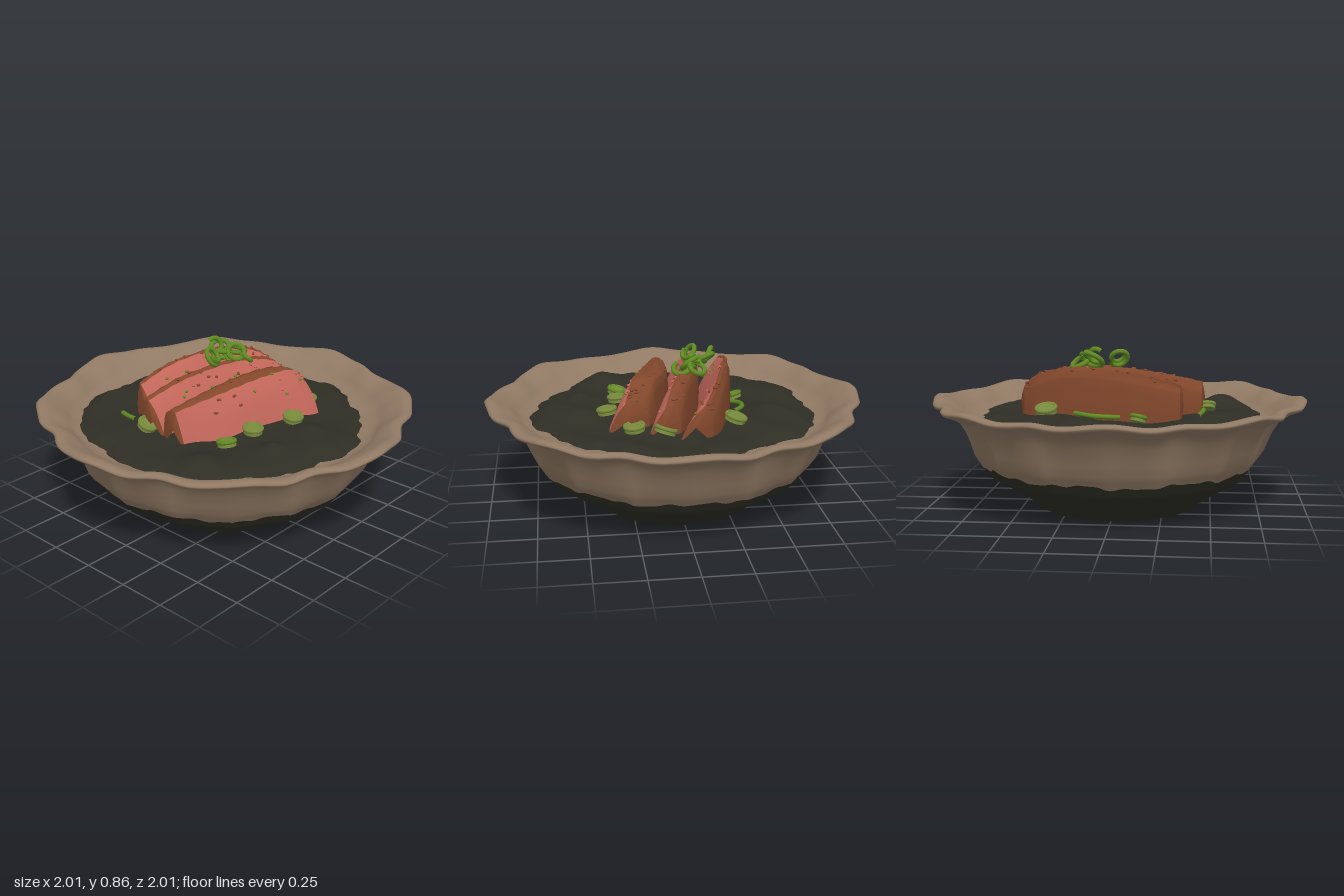
import * as THREE from 'three';

const mat = (name, color, double = false) => {
  const m = new THREE.MeshStandardMaterial({ color });
  m.name = name;
  if (double) m.side = THREE.DoubleSide;
  return m;
};
const TAU = Math.PI * 2;
const lerp = THREE.MathUtils.lerp;
const smooth = THREE.MathUtils.smoothstep;

// Grid surface from a rule f(u, v) -> [x, y, z]; u may wrap around
function surface(f, nu, nv, closed) {
  const pos = [], idx = [], cols = closed ? nu : nu + 1;
  for (let j = 0; j <= nv; j++)
    for (let i = 0; i < cols; i++) pos.push(...f(i / nu, j / nv));
  for (let j = 0; j < nv; j++)
    for (let i = 0; i < nu; i++) {
      const k = (i + 1) % cols;
      const a = j * cols + i, b = j * cols + k, c = a + cols, d = b + cols;
      idx.push(a, b, d, a, d, c);
    }
  const g = new THREE.BufferGeometry();
  g.setAttribute('position', new THREE.Float32BufferAttribute(pos, 3));
  g.setIndex(idx);
  g.computeVertexNormals();
  return g;
}

// Point on a polyline of rows, t in 0..1
function along(rows, t) {
  const s = t * (rows.length - 1), i = Math.min(Math.floor(s), rows.length - 2);
  return rows[i].map((p, k) => lerp(p, rows[i + 1][k], s - i));
}

function seeded(seed) {
  return () => (seed = (seed * 16807) % 2147483647) / 2147483647;
}

export function createModel() {
  const clay = mat('clay', 0x917a64, true);
  const dark = mat('dark sauce', 0x2e2e25, true);
  const pink = mat('pink meat', 0xc4675b, true);
  const crust = mat('brown crust', 0x83482c, true);
  const green = mat('bright green', 0x5f8a22);
  const olive = mat('pale green', 0x788a3c);

  const root = new THREE.Group();
  root.name = 'mealBowl';
  const add = (geo, material, name, parent = root) => {
    const m = new THREE.Mesh(geo, material);
    m.name = name;
    parent.add(m);
    return m;
  };

  // Bowl: facetted lower wall that opens into an eight-lobed ruffled rim
  const bowlPoint = (th, r, y) => {
    const k = smooth(r, 0.74, 0.96);
    const valley = ((1 - Math.cos(8 * th)) / 2) ** 2;
    const q = Math.PI / 8, off = ((th % q) + q) % q - q / 2;
    const facet = Math.cos(q / 2) / Math.cos(off);
    const rr = r * lerp(r > 0.3 ? facet : 1, 1 - 0.045 * valley + 0.005 * Math.cos(24 * th), k);
    const yy = y + k * (0.008 * Math.cos(8 * th) + 0.006 * Math.sin(16 * th + 1));
    return [rr * Math.sin(th), yy, rr * Math.cos(th)];
  };
  const tide = th => 0.24 + 0.008 * Math.sin(9 * th) + 0.006 * Math.sin(23 * th + 1) + 0.004 * Math.sin(41 * th);
  const wallRadius = y => 0.70 + (y - 0.18) * 0.7;

  const foot = [[0, 0], [0.43, 0], [0.45, 0.02], [0.515, 0.07], [0.70, 0.18]];
  add(surface((u, v) => {
    const th = u * TAU;
    const [r, y] = along([...foot, [wallRadius(tide(th)), tide(th)]], v);
    return bowlPoint(th, r, y);
  }, 128, 15, true), dark, 'bowlBase');

  const wall = [[0.785, 0.30], [0.832, 0.41], [0.88, 0.49], [0.94, 0.527], [0.99, 0.545], [1.0, 0.56],
    [0.985, 0.572], [0.955, 0.572], [0.925, 0.56], [0.87, 0.53], [0.82, 0.49], [0.76, 0.472], [0.6, 0.455], [0, 0.43]];
  add(surface((u, v) => {
    const th = u * TAU;
    const [r, y] = along([[wallRadius(tide(th)), tide(th)], ...wall], v);
    return bowlPoint(th, r, y);
  }, 192, 28, true), clay, 'bowlWall');

  // Sauce: lumpy puddle with a ragged edge and a few folds
  const folds = [[0.58, -0.5, 0.05, 0.05], [0.15, -0.5, 0.03, 0.1], [-0.2, 0.5, 0.03, 0.06], [0.1, 0.5, 0.025, 0.08], [-0.55, 0.35, 0.03, 0.08]];
  const sauceY = (x, z) => {
    let y = 0.505 + 0.009 * Math.sin(9 * x + 3 * z) + 0.008 * Math.sin(11 * z - 5 * x + 1) + 0.005 * Math.sin(17 * x + 13 * z);
    for (const [fx, fz, h, w] of folds) y += h * Math.exp(-((x - fx) ** 2 + (z - fz) ** 2) / (w * w));
    return y;
  };
  add(surface((u, v) => {
    const th = u * TAU;
    const edge = 0.752 - 0.025 * Math.sin(th) + 0.02 * Math.sin(5 * th + 1) + 0.013 * Math.sin(11 * th)
      + 0.009 * Math.sin(23 * th + 2) + 0.005 * Math.sin(47 * th);
    const r = edge * (1 - v), x = r * Math.sin(th), z = r * Math.cos(th);
    return [x, lerp(0.468, sauceY(x, z), smooth(v, -0.05, 0.12)), z];
  }, 160, 36, true), dark, 'sauce');

  // Meat slices; each station is [x, front foot z, upper cut edge z, back z, top y]
  const slices = [
    [[-0.34, -0.17, -0.29, -0.31, 0.68], [-0.1, -0.13, -0.28, -0.31, 0.735], [0.2, -0.07, -0.21, -0.25, 0.755],
      [0.4, 0.0, -0.14, -0.18, 0.71], [0.49, 0.04, -0.08, -0.12, 0.645]],
    [[-0.45, 0.01, -0.12, -0.16, 0.67], [-0.2, 0.04, -0.10, -0.15, 0.72], [0.1, 0.09, -0.03, -0.10, 0.745],
      [0.32, 0.16, 0.05, -0.02, 0.72], [0.42, 0.19, 0.10, 0.03, 0.63]],
    [[-0.45, 0.14, 0.07, 0.0, 0.655], [-0.2, 0.23, 0.13, 0.02, 0.695], [0.05, 0.30, 0.19, 0.06, 0.725],
      [0.25, 0.37, 0.25, 0.13, 0.73], [0.34, 0.38, 0.29, 0.18, 0.64]],
  ];
  const rand = seeded(77);
  const crumb = new THREE.IcosahedronGeometry(1, 0);
  const foots = 0.47;
  slices.forEach((rows, n) => {
    const slice = new THREE.Group();
    slice.name = 'meatSlice' + (n + 1);
    root.add(slice);
    const curve = [1, 2, 3, 4].map(k => new THREE.SplineCurve(rows.map(r => new THREE.Vector2(r[0], r[k]))));
    const station = t => {
      const p = curve.map(c => c.getPoint(t));
      return [p[0].x, p[0].y, p[1].y, p[2].y, p[3].y];
    };
    const crustPoint = (s, t) => {
      const [x, , zt, zb, yt] = station(t);
      const [z, y] = along([[zb - 0.01, foots], [zb - 0.012, 0.56], [zb - 0.005, yt - 0.05], [zb + 0.01, yt - 0.012],
        [(zt + zb) / 2, yt + 0.008], [zt, yt]], s);
      const b = 0.005 * Math.sin(s * 15 + 40 * t) * Math.sin(31 * t + n);
      return [x, y + b, z];
    };
    const cutPoint = (s, t) => {
      const [x, zf, , , yt] = station(t);
      const top = crustPoint(1, t);
      const dent = 0.010 * Math.sin(Math.PI * s) * Math.sin(t * 9 + n * 2);
      const rise = 0.25 * Math.sin(Math.PI * s) * (yt - foots) * 0.4;
      return [x, lerp(top[1], foots, s) + rise + dent, lerp(top[2], zf, s)];
    };
    add(surface(crustPoint, 15, 40, false), crust, 'crust', slice);
    add(surface(cutPoint, 8, 40, false), pink, 'cutFace', slice);
    // Rounded crust ends
    for (const t of [0, 1]) {
      const [x, zf, , zb, yt] = station(t);
      const mid = [x + (t ? 0.03 : -0.015), (yt + foots) / 2, (zf + zb) / 2];
      add(surface((u, v) => {
        const p = u < 0.5 ? crustPoint(u * 2, t) : cutPoint(u * 2 - 1, t);
        const w = t ? v : 1 - v;
        return p.map((c, k) => lerp(c, mid[k], k ? w : Math.sin(w * Math.PI / 2)));
      }, 20, 4, false), crust, 'sliceEnd', slice);
    }
    // Crumbs and chopped herbs on the slice
    for (let i = 0; i < 26; i++) {
      const t = 0.15 + rand() * 0.8, onCut = i % 2;
      const p = onCut ? cutPoint(rand() * 0.5, t) : crustPoint(0.55 + rand() * 0.45, t);
      const m = add(crumb, i % 6 === 5 ? green : onCut && i % 3 ? pink : crust, 'crumb', slice);
      m.position.set(...p);
      m.scale.set(0.010 + rand() * 0.006, 0.008, 0.010);
      m.rotation.y = rand() * 3;
    }
  });

  // Cut onion rounds lying around the meat: [x, z, radius, tilt]
  const rounds = [[-0.13, -0.35, 0.04, 0.3], [0.35, -0.27, 0.055, -0.2], [-0.47, -0.11, 0.05, 0.3], [0.44, 0.10, 0.055, -0.3],
    [0.39, 0.25, 0.052, 0.2], [0.12, 0.37, 0.05, 0.35], [-0.12, 0.30, 0.05, 0.1], [-0.31, 0.29, 0.048, -0.15]];
  rounds.forEach(([x, z, r, tilt], i) => {
    const g = new THREE.Group();
    g.name = 'onionRound';
    g.position.set(x, sauceY(x, z) + 0.025, z);
    g.rotation.set(tilt, i, tilt * 0.6);
    root.add(g);
    add(new THREE.CylinderGeometry(r * 0.95, r, 0.03, 20), olive, 'roundCore', g);
    const skin = add(new THREE.TorusGeometry(r * 0.9, 0.011, 8, 24), i % 7 ? olive : green, 'roundSkin', g);
    skin.rotation.x = Math.PI / 2;
    skin.position.y = 0.01;
  });

  // Curled strips: [x, y, z, radius, turns, rise, tiltX, tiltZ]
  const curls = [[-0.01, 0.80, -0.08, 0.05, 1.5, 0.03, 0.9, -0.3], [0.12, 0.80, -0.14, 0.06, 1.3, 0.04, 0.5, 0.3],
    [0.15, 0.785, -0.06, 0.055, 1.6, 0.04, 0.7, 0.5], [0.20, 0.775, -0.09, 0.05, 1.1, 0.03, -0.3, -0.5],
    [0.10, 0.81, -0.16, 0.045, 0.7, 0.03, 1.4, 0.2], [0.17, 0.765, -0.01, 0.045, 0.7, 0.03, 0.4, -0.4]];
  curls.forEach(([x, y, z, r, turns, rise, tx, tz], n) => {
    const pts = Array.from({ length: 24 }, (_, i) => {
      const a = i / 23 * turns * TAU + n, q = r * (1 - 0.3 * i / 23);
      return new THREE.Vector3(q * Math.cos(a), rise * (i / 23 - 0.5), q * Math.sin(a));
    });
    const m = add(new THREE.TubeGeometry(new THREE.CatmullRomCurve3(pts), 56, 0.013, 8), green, 'onionCurl');
    m.position.set(x, y, z);
    m.rotation.set(tx, 0, tz);
  });

  // Loose strips on the sauce
  const strips = [[[-0.43, -0.34], [-0.45, -0.28], [-0.46, -0.21]], [[-0.03, -0.31], [0.03, -0.35], [0.11, -0.35], [0.20, -0.29]]];
  for (const path of strips) {
    const c = new THREE.CatmullRomCurve3(path.map(([x, z]) => new THREE.Vector3(x, sauceY(x, z) + 0.02, z)));
    add(new THREE.TubeGeometry(c, 24, 0.012, 8), green, 'onionStrip');
  }
  return root;
}
